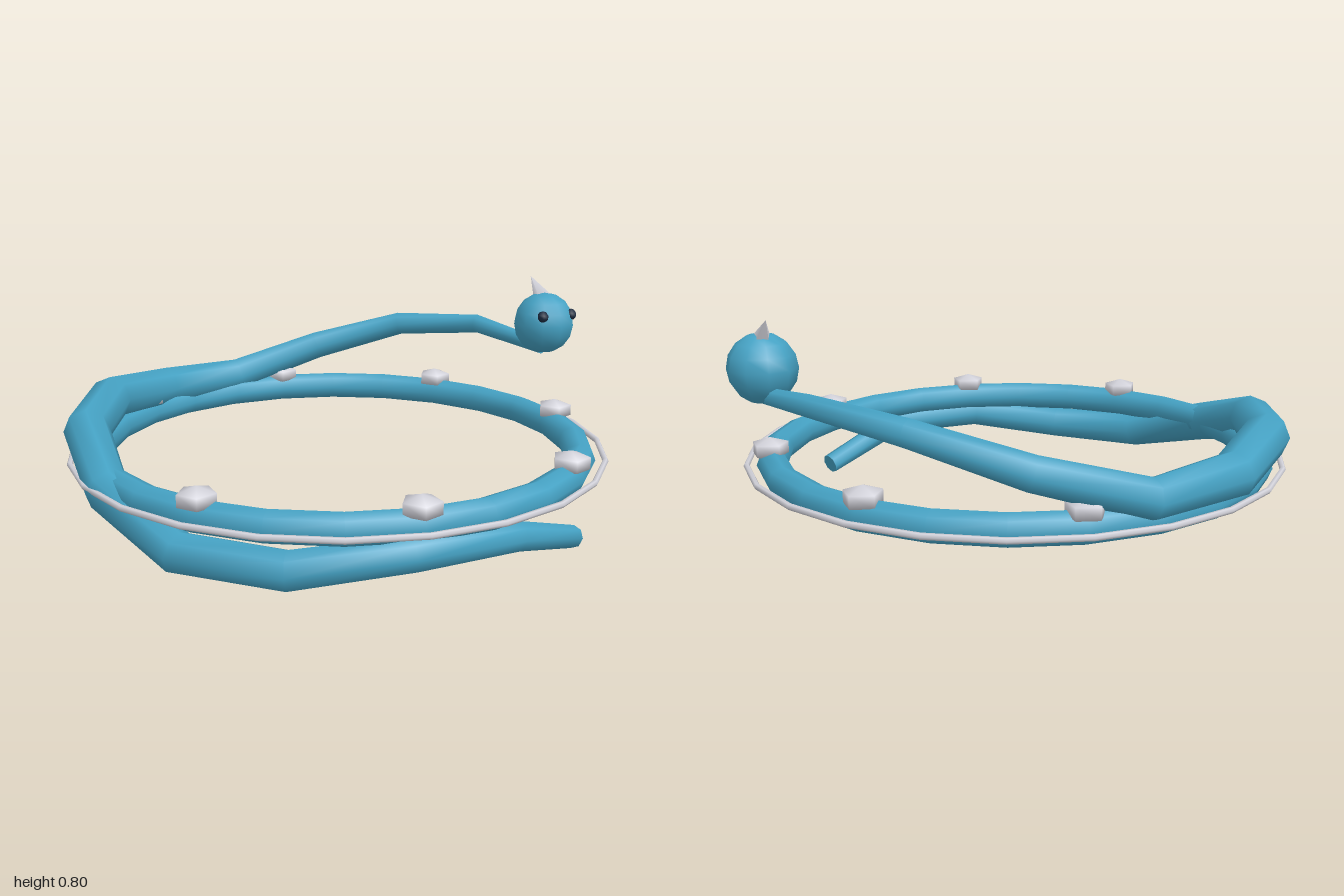
import * as THREE from 'three';

const teal = new THREE.MeshStandardMaterial({ name: 'teal', color: 0x45a2c4 });
const silver = new THREE.MeshStandardMaterial({ name: 'silver', color: 0xd2d2da });
const navy = new THREE.MeshStandardMaterial({ name: 'navy', color: 0x1c2b40 });

function part(name, geometry, material, x = 0, y = 0, z = 0) {
  const mesh = new THREE.Mesh(geometry, material);
  mesh.name = name;
  mesh.position.set(x, y, z);
  return mesh;
}

// Tapered tube: one ring of vertices per path point, square to the path
function taperedTube(points, radii, sides) {
  const pos = [], index = [], last = points.length - 1;
  const addRing = (i) => {
    const p = points[i];
    const t = points[Math.min(i + 1, last)].clone().sub(points[Math.max(i - 1, 0)]).normalize();
    const n = new THREE.Vector3(p.x, 0, p.z).normalize();
    n.addScaledVector(t, -n.dot(t)).normalize();
    const b = new THREE.Vector3().crossVectors(t, n);
    for (let j = 0; j < sides; j++) {
      const a = (j / sides) * Math.PI * 2;
      const v = p.clone()
        .addScaledVector(n, Math.cos(a) * radii[i])
        .addScaledVector(b, Math.sin(a) * radii[i]);
      pos.push(v.x, v.y, v.z);
    }
  };
  for (let i = 0; i <= last; i++) addRing(i);
  for (let i = 0; i < last; i++) {
    for (let j = 0; j < sides; j++) {
      const k = (j + 1) % sides;
      const a = i * sides + j, b = i * sides + k;
      index.push(a, b, a + sides, b, b + sides, a + sides);
    }
  }
  // Flat end caps with their own vertices
  for (const i of [0, last]) {
    const base = pos.length / 3;
    addRing(i);
    for (let j = 1; j < sides - 1; j++) {
      if (i === 0) index.push(base, base + j + 1, base + j);
      else index.push(base, base + j, base + j + 1);
    }
  }
  const g = new THREE.BufferGeometry();
  g.setAttribute('position', new THREE.Float32BufferAttribute(pos, 3));
  g.setIndex(index);
  g.computeVertexNormals();
  return g;
}

export function createModel() {
  const model = new THREE.Group();
  model.name = 'serpentBangle';

  // Main hoop and the fine wire around it
  model.add(part('hoop', new THREE.TorusGeometry(0.895, 0.056, 8, 24).rotateX(Math.PI / 2), teal, 0, 0.25, 0));
  model.add(part('outerWire', new THREE.TorusGeometry(0.986, 0.011, 6, 24).rotateX(Math.PI / 2), silver, 0, 0.25, 0));

  // Eight beads set on top of the hoop
  const bead = new THREE.SphereGeometry(0.076, 5, 3).scale(1, 0.55, 1).rotateY(-Math.PI / 2);
  for (let i = 0; i < 8; i++) {
    const a = (i / 8) * Math.PI * 2;
    model.add(part('bead', bead, silver, Math.cos(a) * 0.9, 0.31, Math.sin(a) * 0.9));
  }

  // Serpent body: climbs round 306 degrees from tail to neck
  const heights = [0.045, 0.16, 0.17, 0.122, 0.125, 0.235, 0.34, 0.365, 0.328, 0.322, 0.432, 0.54, 0.573, 0.535];
  const radii = [0.04, 0.051, 0.06, 0.067, 0.07, 0.077, 0.084, 0.085, 0.08, 0.069, 0.059, 0.048, 0.039, 0.03];
  const path = heights.map((y, i) => {
    const a = THREE.MathUtils.degToRad((i / 13) * 306);
    return new THREE.Vector3(Math.cos(a) * 0.92, y, Math.sin(a) * 0.92);
  });
  model.add(part('serpentBody', taperedTube(path, radii, 8), teal));

  // Head, facing onward along the coil
  const head = new THREE.Group();
  head.name = 'head';
  head.position.set(0.54, 0.633, -0.75);
  head.add(part('skull', new THREE.SphereGeometry(0.122, 10, 8), teal));
  const eye = new THREE.SphereGeometry(0.023, 6, 5);
  head.add(part('leftEye', eye, navy, 0.108, 0.042, -0.008));
  head.add(part('rightEye', eye, navy, 0.03, 0.042, 0.104));

  // Horn swept backwards
  const from = new THREE.Vector3(-0.008, 0.09, -0.006);
  const to = new THREE.Vector3(-0.082, 0.177, -0.057);
  const dir = to.clone().sub(from);
  const horn = part('horn', new THREE.ConeGeometry(0.04, dir.length(), 4), silver);
  horn.position.copy(from).addScaledVector(dir, 0.5);
  horn.quaternion.setFromUnitVectors(new THREE.Vector3(0, 1, 0), dir.normalize());
  head.add(horn);
  model.add(head);

  return model;
}
